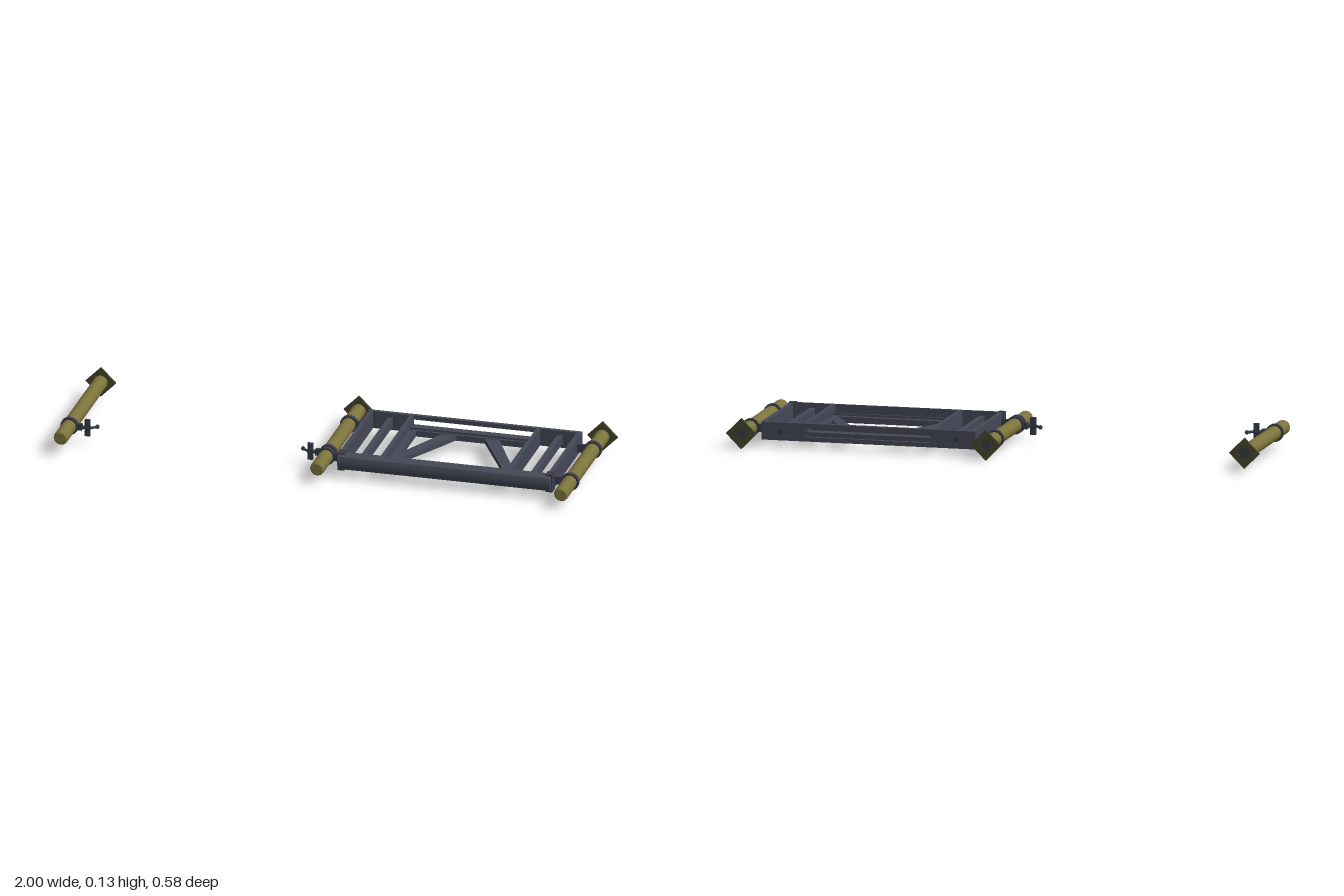
import * as THREE from 'three';

const mat = (name, color, side = THREE.FrontSide) => {
  const m = new THREE.MeshStandardMaterial({ color, side });
  m.name = name;
  return m;
};

export function createModel() {
  const olive = mat('olive tube', 0x7d753c);
  const steel = mat('blue grey steel', 0x454957);
  const dark = mat('dark clamp steel', 0x393c48);
  const foot = mat('dark olive plate', 0x47472f);

  const root = new THREE.Group();
  root.name = 'folding frame with legs';

  const add = (parent, name, geo, material, x = 0, y = 0, z = 0) => {
    const m = new THREE.Mesh(geo, material);
    m.name = name;
    m.position.set(x, y, z);
    parent.add(m);
    return m;
  };
  // box given by its limits
  const slab = (parent, name, x0, x1, y0, y1, z0, z1, material = steel) =>
    add(parent, name, new THREE.BoxGeometry(x1 - x0, y1 - y0, z1 - z0), material,
      (x0 + x1) / 2, (y0 + y1) / 2, (z0 + z1) / 2);
  // shape in the x-z plane, raised from y0 to y1
  const flat = (parent, name, pts, y0, y1) => {
    const s = new THREE.Shape(pts.map(([x, z]) => new THREE.Vector2(x, -z)));
    const g = new THREE.ExtrudeGeometry(s, { depth: y1 - y0, bevelEnabled: false });
    g.rotateX(-Math.PI / 2);
    return add(parent, name, g, steel, 0, y0, 0);
  };
  const ring = (inner, outer, depth) => {
    const s = new THREE.Shape().absarc(0, 0, outer, 0, Math.PI * 2, false);
    s.holes.push(new THREE.Path().absarc(0, 0, inner, 0, Math.PI * 2, true));
    return new THREE.ExtrudeGeometry(s, { depth, bevelEnabled: false, curveSegments: 10 })
      .translate(0, 0, -depth / 2);
  };

  // --- legs: tube with chamfered tip, square foot plate turned to a diamond
  const clampRing = ring(0.025, 0.033, 0.016);
  function leg(name, x, y, back, front, clamps) {
    const g = new THREE.Group();
    g.name = name;
    g.position.set(x, y, 0);
    root.add(g);
    const r = 0.0265;
    const wall = new THREE.CylinderGeometry(r, r, front - 0.007 - back, 12).rotateX(Math.PI / 2);
    add(g, 'tube', wall, olive, 0, 0, (front - 0.007 + back) / 2);
    const tip = new THREE.CylinderGeometry(0.021, r, 0.007, 12).rotateX(Math.PI / 2);
    add(g, 'tubeTip', tip, olive, 0, 0, front - 0.0035);

    const d = 0.057;
    const s = new THREE.Shape([[d, 0], [0, d], [-d, 0], [0, -d]].map(p => new THREE.Vector2(...p)));
    s.holes.push(new THREE.Path().absarc(0, 0, 0.02, 0, Math.PI * 2, true));
    const plate = new THREE.ExtrudeGeometry(s, { depth: 0.009, bevelEnabled: false, curveSegments: 8 });
    add(g, 'footPlate', plate, foot, 0, 0, back - 0.009);
    const plug = new THREE.CylinderGeometry(0.02, 0.02, 0.004, 16).rotateX(Math.PI / 2);
    add(g, 'footPlug', plug, dark, 0, 0, back - 0.004);
    for (const z of clamps) add(g, 'clampRing', clampRing, dark, 0, 0, z);
    return g;
  }

  // --- locking lever on a leg, side = +1 or -1 along x
  function lever(parent, side, z) {
    const g = new THREE.Group();
    g.name = 'lockingLever';
    g.position.z = z;
    parent.add(g);
    add(g, 'leverBlock', new THREE.BoxGeometry(0.02, 0.024, 0.014), dark, side * 0.038, 0, 0);
    add(g, 'leverBolt', new THREE.CylinderGeometry(0.007, 0.007, 0.05, 8).rotateZ(Math.PI / 2),
      dark, side * 0.055, 0, 0);
    add(g, 'leverPlate', new THREE.BoxGeometry(0.02, 0.064, 0.011), dark, side * 0.068, 0, 0);
    const path = new THREE.CatmullRomCurve3([[0.06, 0], [0.08, -0.002], [0.091, -0.009], [0.1, -0.018]]
      .map(([a, b]) => new THREE.Vector3(side * a, 0, b)));
    add(g, 'leverTail', new THREE.TubeGeometry(path, 10, 0.005, 6), dark);
    add(g, 'leverKnob', new THREE.SphereGeometry(0.008, 8, 6), dark, side * 0.1, 0, -0.018);
  }

  const loose = leg('looseLeg', -0.943, 0.072, -0.268, 0.285, [0.158]);
  lever(loose, 1, 0.158);
  const inner = leg('rightLeg', 0.023, 0.06, -0.283, 0.292, [-0.155, 0.158, 0.13]);
  lever(inner, -1, 0.13);
  const outer = leg('leftLeg', 0.94, 0.06, -0.283, 0.292, [-0.155, 0.158]);
  // lugs joining the legs to the frame
  for (const z of [-0.155, 0.158]) {
    add(inner, 'frameLug', new THREE.BoxGeometry(0.04, 0.03, 0.012), dark, 0.046, 0, z);
    add(outer, 'frameLug', new THREE.BoxGeometry(0.04, 0.03, 0.012), dark, -0.046, 0, z);
  }

  // --- frame, built around its own middle
  const frame = new THREE.Group();
  frame.name = 'frame';
  frame.position.x = 0.481;
  root.add(frame);
  const B = 0.03, T = 0.096, M = (B + T) / 2;

  // rounded front rail, profile in z-y swept along x
  const prof = new THREE.Shape();
  prof.moveTo(0.187, B);
  prof.lineTo(0.192, B);
  prof.lineTo(0.217, 0.039);
  prof.quadraticCurveTo(0.227, M, 0.217, 0.087);
  prof.lineTo(0.192, T);
  prof.lineTo(0.187, T);
  const rail = new THREE.ExtrudeGeometry(prof, { depth: 0.8, bevelEnabled: false, curveSegments: 6 });
  rail.rotateY(-Math.PI / 2).scale(1, 1, 1).translate(0.4, 0, 0);
  add(frame, 'frontRail', rail, steel);

  // back rails with an opening between
  slab(frame, 'backTopRail', -0.4, 0.4, 0.08, T, -0.225, -0.21);
  slab(frame, 'backBottomRail', -0.4, 0.4, B, 0.046, -0.225, -0.21);

  // stepped cross beams
  slab(frame, 'backBeam', -0.24, 0.24, 0.04, 0.062, -0.21, -0.15);
  slab(frame, 'backBeamLip', -0.24, 0.24, 0.04, 0.07, -0.168, -0.16);
  slab(frame, 'frontBeam', -0.24, 0.24, 0.04, 0.062, 0.125, 0.19);
  slab(frame, 'frontBeamLip', -0.24, 0.24, 0.04, 0.07, 0.148, 0.156);

  for (const s of [-1, 1]) {
    const side = (name, a, b, y0, y1, z0, z1, m = steel) =>
      slab(frame, name, Math.min(s * a, s * b), Math.max(s * a, s * b), y0, y1, z0, z1, m);
    side('endRail', 0.383, 0.4, B, T, -0.21, 0.187);
    side('endCap', 0.378, 0.404, B - 0.001, T + 0.001, 0.17, 0.205, dark);
    side('backEndPlate', 0.235, 0.4, 0.046, 0.08, -0.222, -0.212);
    side('slat', 0.308, 0.328, 0.045, 0.078, -0.21, 0.187);
    side('innerWall', 0.23, 0.245, B, T, -0.21, 0.187);
    side('innerPost', 0.206, 0.232, 0.04, 0.062, -0.152, 0.127);
    // bolt on the back end plate
    add(frame, 'backBolt', new THREE.CylinderGeometry(0.012, 0.012, 0.006, 12).rotateX(Math.PI / 2),
      dark, s * 0.33, M, -0.2235);
    // diagonal brace
    const pts = [[0.206, 0.065], [0.206, 0.126], [0.152, 0.126], [0.052, -0.151], [0.108, -0.151]];
    pts[2][0] = 0.152;
    const brace = [[0.207, 0.055], [0.207, 0.126], [0.2, 0.126], [0.052, -0.151], [0.108, -0.151]];
    flat(frame, 'diagonalBrace', brace.map(([x, z]) => [s * x, z]), 0.042, 0.06);
  }
  return root;
}
